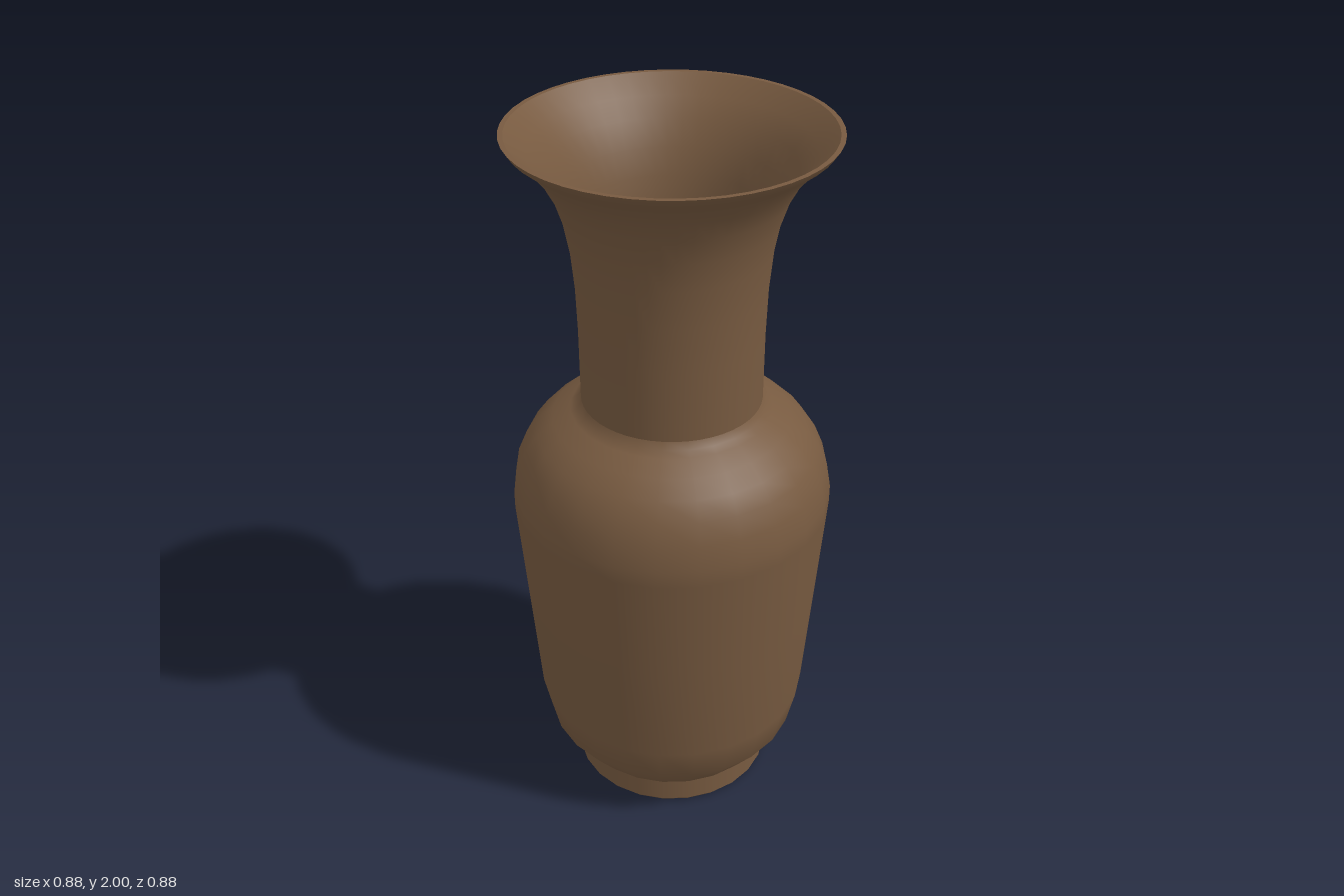
import * as THREE from 'three';

export function createModel() {
  const vase = new THREE.Group();
  vase.name = 'vase';
  const clay = new THREE.MeshStandardMaterial({ color: 0x775a40 });
  clay.name = 'brown clay';

  // Each part is one smooth lathe; separate parts keep sharp edges between them
  const turn = (name, profile, sides) => {
    const points = profile.map(([r, y]) => new THREE.Vector2(r, y));
    const mesh = new THREE.Mesh(new THREE.LatheGeometry(points, sides), clay);
    mesh.name = name;
    vase.add(mesh);
  };

  // Foot
  turn('base', [[0, 0], [0.275, 0]], 24);
  turn('footBevel', [[0.275, 0], [0.285, 0.012]], 24);
  turn('foot', [[0.285, 0.012], [0.285, 0.088]], 24);
  turn('footLedge', [[0.285, 0.088], [0.295, 0.09]], 24);

  // Body with rounded shoulder
  turn('body', [
    [0.295, 0.09], [0.365, 0.18], [0.39, 0.29], [0.415, 0.61], [0.44, 0.93],
    [0.44, 0.98], [0.428, 1.05], [0.403, 1.11], [0.37, 1.155], [0.325, 1.195],
    [0.275, 1.222], [0.256, 1.235], [0.245, 1.255],
  ], 24);

  // Flared neck, outside
  turn('neck', [
    [0.245, 1.255], [0.246, 1.45], [0.25, 1.58], [0.26, 1.69], [0.275, 1.77],
    [0.298, 1.84], [0.33, 1.9], [0.37, 1.948], [0.41, 1.98], [0.423, 2],
  ], 48);
  turn('rim', [[0.423, 2], [0.41, 2]], 48);

  // Hollow inside, tapering to a small floor
  turn('neckInside', [
    [0.41, 2], [0.36, 1.955], [0.32, 1.905], [0.286, 1.84], [0.262, 1.77],
    [0.247, 1.69], [0.237, 1.58], [0.232, 1.45], [0.23, 1.255],
  ], 48);
  turn('bodyInside', [[0.23, 1.255], [0.13, 0.12]], 48);
  turn('insideFloor', [[0.13, 0.12], [0, 0.12]], 48);

  return vase;
}
